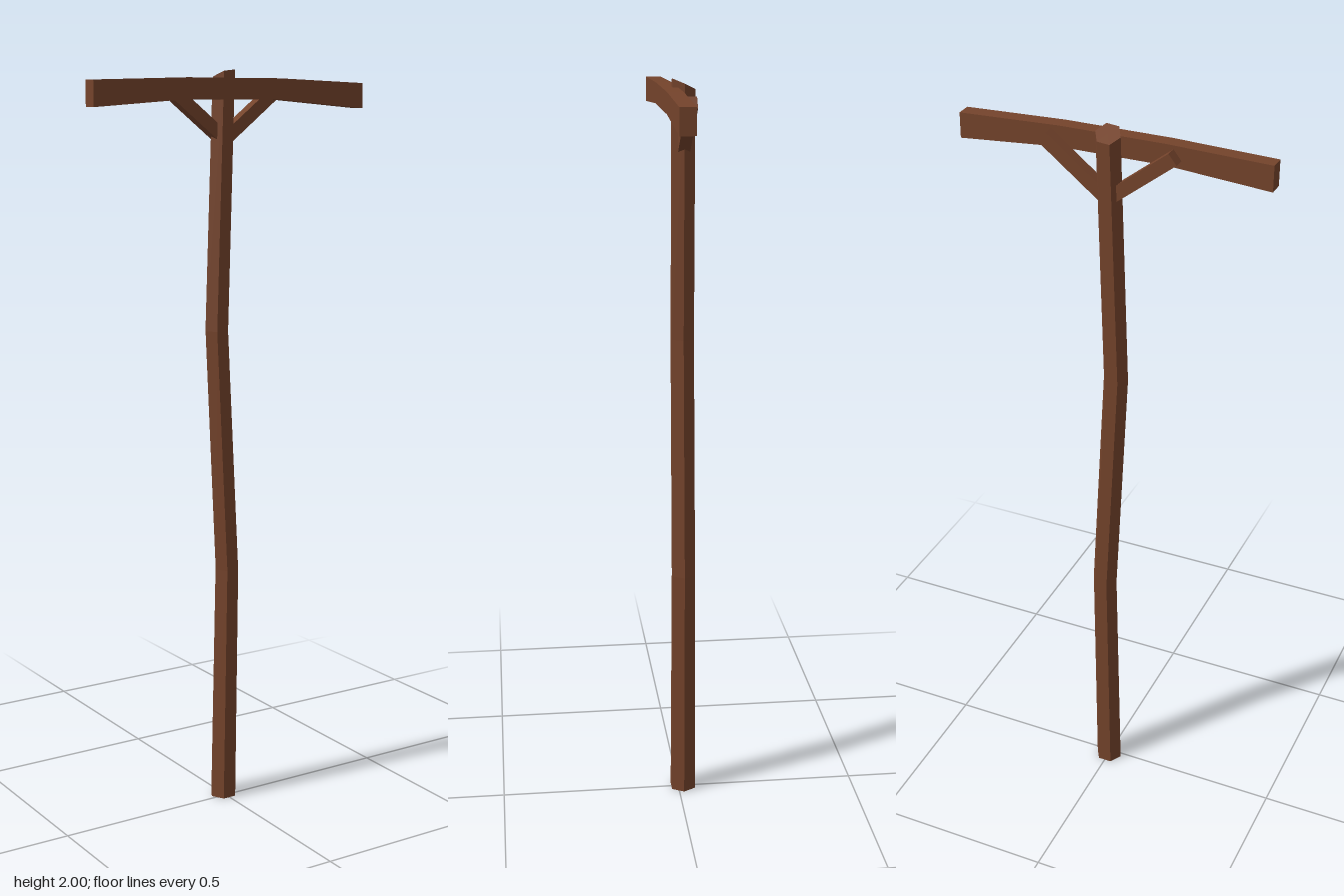
import * as THREE from 'three';

const wood = new THREE.MeshStandardMaterial({ color: 0x74432b, flatShading: true });

function addMesh(group, geometry, name) {
  geometry.computeVertexNormals();
  const mesh = new THREE.Mesh(geometry, wood);
  mesh.name = name;
  group.add(mesh);
  return mesh;
}

// Six-sided crooked pole: each station is [y, centre x, radius]
function poleGeometry() {
  const stations = [[0, 0, 0.038], [0.66, 0.012, 0.035], [1.32, -0.02, 0.034], [1.983, 0.002, 0.033]];
  const geo = new THREE.CylinderGeometry(1, 1, 3, 6, 3, false, Math.PI / 2);
  const p = geo.attributes.position;
  for (let i = 0; i < p.count; i++) {
    const row = Math.round(p.getY(i) + 1.5);
    const [y, cx, r] = stations[row];
    const dx = p.getX(i) * r, dz = p.getZ(i) * r;
    // the top is sawn at a slant, higher at the front
    const slant = row === 3 ? 0.45 * dz + 0.1 * dx : 0;
    p.setXYZ(i, cx + dx, y + slant, dz - 0.013);
  }
  return geo;
}

// Crossbeam sagging towards both ends
function beamGeometry() {
  const stations = [[-0.41, 1.902, 1.968], [-0.14, 1.922, 1.976], [0.14, 1.922, 1.976], [0.41, 1.9, 1.966]];
  const geo = new THREE.BoxGeometry(3, 1, 0.041, 3, 1, 1);
  const p = geo.attributes.position;
  for (let i = 0; i < p.count; i++) {
    const [x, low, high] = stations[Math.round(p.getX(i) + 1.5)];
    p.setXYZ(i, x, p.getY(i) > 0 ? high : low, p.getZ(i) + 0.023);
  }
  return geo;
}

export function createModel() {
  const model = new THREE.Group();
  model.name = 'utilityPole';
  addMesh(model, poleGeometry(), 'pole');
  addMesh(model, beamGeometry(), 'crossbeam');

  // Diagonal braces from the pole up to the crossbeam
  for (const side of [-1, 1]) {
    const brace = addMesh(model, new THREE.BoxGeometry(0.228, 0.034, 0.031),
      side > 0 ? 'leftBrace' : 'rightBrace');
    brace.position.set(side * 0.08, 1.883, -0.013);
    brace.rotation.z = side * Math.atan2(0.14, 0.18);
  }
  return model;
}
